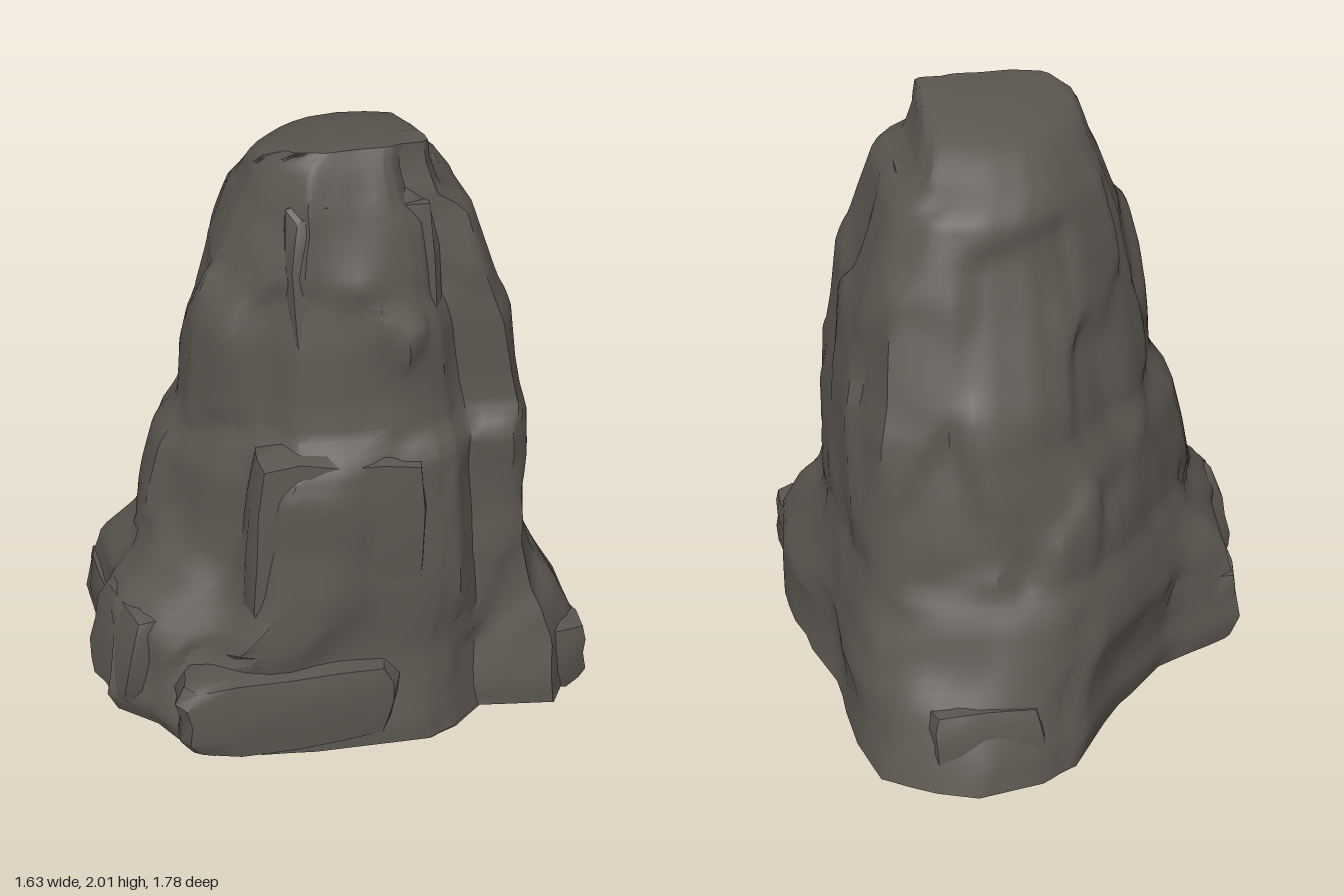
import * as THREE from 'three';
import { toCreasedNormals } from 'three/addons/utils/BufferGeometryUtils.js';

// Ground outline of the rock, as x, z pairs
const BASE = [
  -.75, -.2, -.48, -.32, -.3, -.5, -.22, -.6, -.08, -.8, .05, -.86, .28, -.9, .42, -.85,
  .6, -.75, .66, -.55, .7, -.2, .77, 0, .82, .35, .8, .62, .68, .8, .42, .76,
  .3, .86, .2, .9, -.2, .88, -.55, .82, -.65, .7, -.7, .6, -.82, .48, -.75, .2,
];
// Outline of the upper tower in a unit square, same point order
const TOWER = [
  -.95, -.2, -.82, -.4, -.62, -.6, -.47, -.75, -.3, -.87, -.1, -.96, .25, -1, .56, -.94,
  .86, -.82, .96, -.5, .98, -.2, 1, 0, 1, .3, 1, .6, .91, .82, .6, .8,
  .48, .95, .35, 1, -.2, 1, -.48, .95, -.67, .74, -.87, .57, -1, .35, -1, .1,
];
// Height, then min x, max x, min z, max z at that height
const LEVELS = [
  [0, -.76, .82, -.9, .9], [.1, -.82, .82, -.87, .9], [.25, -.8, .82, -.81, .87],
  [.38, -.77, .75, -.75, .85], [.5, -.66, .7, -.7, .84], [.6, -.61, .67, -.64, .83],
  [.75, -.59, .67, -.62, .8], [.92, -.56, .65, -.58, .79], [1.04, -.49, .64, -.54, .78],
  [1.1, -.48, .63, -.52, .71], [1.2, -.47, .61, -.48, .69], [1.4, -.45, .58, -.38, .67],
  [1.6, -.4, .51, -.28, .63], [1.78, -.32, .45, -.2, .56], [1.83, -.29, .36, -.13, .54],
  [1.93, -.25, .32, 0, .49], [1.975, -.22, .31, .17, .46], [2, -.16, .3, .31, .44],
];
// Height, then the sheared corners: max x - z, max z - x, max x + z
const CORNERS = [
  [0, 1.4, 1.4, 1.5], [.25, 1.25, 1.35, 1.46], [.5, 1.04, 1.28, 1.28], [.75, .98, 1.16, 1.22],
  [1, .94, 1.03, 1.19], [1.2, .89, .95, 1.15], [1.4, .79, .82, 1.08], [1.6, .61, .71, .98],
  [1.8, .47, .64, .88], [2, .15, .54, .74],
];
const STEPS = 4, COLS = 24 * STEPS, ROWS = 60;

function seeded(seed) {
  return () => {
    seed = (seed * 16807) % 2147483647;
    return seed / 2147483647;
  };
}

function rowAt(table, y) {
  let k = 0;
  while (k < table.length - 2 && y > table[k + 1][0]) k++;
  const a = table[k], b = table[k + 1];
  const t = (y - a[0]) / (b[0] - a[0]);
  return a.map((v, i) => v + (b[i] - v) * t);
}

// Point on a closed outline, walked in equal steps along each edge
function outline(points, i) {
  const k = Math.floor(i / STEPS) % 24, n = (k + 1) % 24, t = (i % STEPS) / STEPS;
  return [0, 1].map((c) => points[k * 2 + c] * (1 - t) + points[n * 2 + c] * t);
}

// Irregular blocks, each set back into the face by its own depth
function makeCrags() {
  const rnd = seeded(4711);
  const blocks = Array.from({ length: 190 }, () => ({
    x: rnd() * 1.8 - .9, y: rnd() * 2, z: rnd() * 1.9 - .95,
    depth: rnd() * .07 - .01, tilt: rnd() * .16 - .08,
  }));
  return (x, y, z) => {
    let sum = 0, total = 1e-9;
    for (const b of blocks) {
      const dy = y - b.y;
      const d = (x - b.x) ** 2 + (dy * .65) ** 2 + (z - b.z) ** 2;
      const w = Math.exp(-d * 170);
      sum += w * (b.depth + b.tilt * dy);
      total += w;
    }
    return sum / total;
  };
}

function rockGeometry() {
  const setback = makeCrags();
  const pos = [], index = [];
  for (let j = 0; j <= ROWS; j++) {
    const y = (2 * j) / ROWS;
    const [, x0, x1, z0, z1] = rowAt(LEVELS, y);
    const [, backLeft, frontRight, frontLeft] = rowAt(CORNERS, y);
    const cx = (x0 + x1) / 2, cz = (z0 + z1) / 2;
    const blend = THREE.MathUtils.smoothstep(y, .12, .6);
    const fade = Math.min(1, .35 + y * 2, .1 + (2 - y) * 2);
    for (let i = 0; i < COLS; i++) {
      const b = outline(BASE, i), t = outline(TOWER, i);
      let x = cx + (x1 - x0) / 2 * THREE.MathUtils.lerp(b[0] / .82, t[0], blend);
      let z = cz + (z1 - z0) / 2 * THREE.MathUtils.lerp(b[1] / .9, t[1], blend);
      const r = Math.hypot(x - cx, z - cz) || 1;
      const s = 1 - setback(x, y, z) * fade / r;
      x = cx + (x - cx) * s;
      z = cz + (z - cz) * s;
      // Shear off the corners
      for (const [sx, sz, max] of [[1, -1, backLeft], [-1, 1, frontRight], [1, 1, frontLeft]]) {
        const over = Math.max(0, sx * x + sz * z - max) / 2;
        x -= sx * over;
        z -= sz * over;
      }
      // The underside rises slightly towards the front
      const lift = j === 0 ? Math.max(0, .02 + z * .022 - x * .012) : 0;
      pos.push(THREE.MathUtils.clamp(x, -.82, .82), y + lift, THREE.MathUtils.clamp(z, -.9, .9));
    }
  }
  for (let j = 0; j < ROWS; j++) {
    for (let i = 0; i < COLS; i++) {
      const n = (i + 1) % COLS;
      const a = j * COLS + i, b = j * COLS + n, c = a + COLS, d = b + COLS;
      index.push(a, c, b, b, c, d);
    }
  }
  // Underside and crown
  const bottom = pos.length / 3, crown = bottom + 1, last = ROWS * COLS;
  pos.push(0, 0, 0, .07, 2, .38);
  for (let i = 0; i < COLS; i++) {
    const n = (i + 1) % COLS;
    index.push(bottom, i, n, crown, last + n, last + i);
  }
  const g = new THREE.BufferGeometry();
  g.setAttribute('position', new THREE.Float32BufferAttribute(pos, 3));
  g.setIndex(index);
  return toCreasedNormals(g, .75);
}

// Weathered slab with pinched, uneven corners
function slabGeometry(w, h, d, seed) {
  const rnd = seeded(seed);
  const g = new THREE.BoxGeometry(w, h, d, 4, 4, 4);
  const p = g.attributes.position, moved = new Map();
  for (let i = 0; i < p.count; i++) {
    const v = new THREE.Vector3().fromBufferAttribute(p, i);
    const key = v.toArray().map((c) => c.toFixed(3)).join();
    if (!moved.has(key)) {
      const edge = [v.x / w, v.y / h, v.z / d].filter((c) => Math.abs(c) > .45).length;
      const s = 1 - .08 * (edge - 1) - rnd() * .07;
      moved.set(key, v.clone().multiplyScalar(s));
    }
    p.setXYZ(i, ...moved.get(key).toArray());
  }
  return toCreasedNormals(g, .75);
}

export function createModel() {
  const group = new THREE.Group();
  group.name = 'rock';
  const stone = new THREE.MeshStandardMaterial({ color: 0x5a554e });
  stone.name = 'dark stone';

  const add = (name, geometry, position = [0, 0, 0], rotation = [0, 0, 0]) => {
    const mesh = new THREE.Mesh(geometry, stone);
    mesh.name = name;
    mesh.position.set(...position);
    mesh.rotation.set(...rotation);
    group.add(mesh);
  };

  add('rockBody', rockGeometry());
  // Ledges and fallen blocks: name, size, position, rotation
  const slabs = [
    ['frontSlab', [.6, .78, .28], [-.06, .7, .64], [-.06, -.1, -.05]],
    ['frontLedge', [.75, .3, .22], [-.25, .19, .76], [-.05, -.06, .03]],
    ['upperFrontSlab', [.52, .85, .2], [.07, 1.45, .49], [-.2, 0, .02]],
    ['leftShoulder', [.22, .66, .42], [.36, 1.5, .24], [0, 0, .2]],
    ['leftFootBlock', [.3, .26, .42], [.66, .14, .52], [0, .1, 0]],
    ['rightFootBlock', [.26, .38, .36], [-.65, .23, .37], [0, .2, -.2]],
    ['rightBackStep', [.3, .24, .4], [-.6, .17, 0], [0, 0, 0]],
    ['backFootBlock', [.4, .26, .24], [.25, .13, -.71], [.2, 0, 0]],
  ];
  slabs.forEach(([name, size, at, turn], i) => add(name, slabGeometry(...size, 97 + i * 31), at, turn));
  return group;
}
